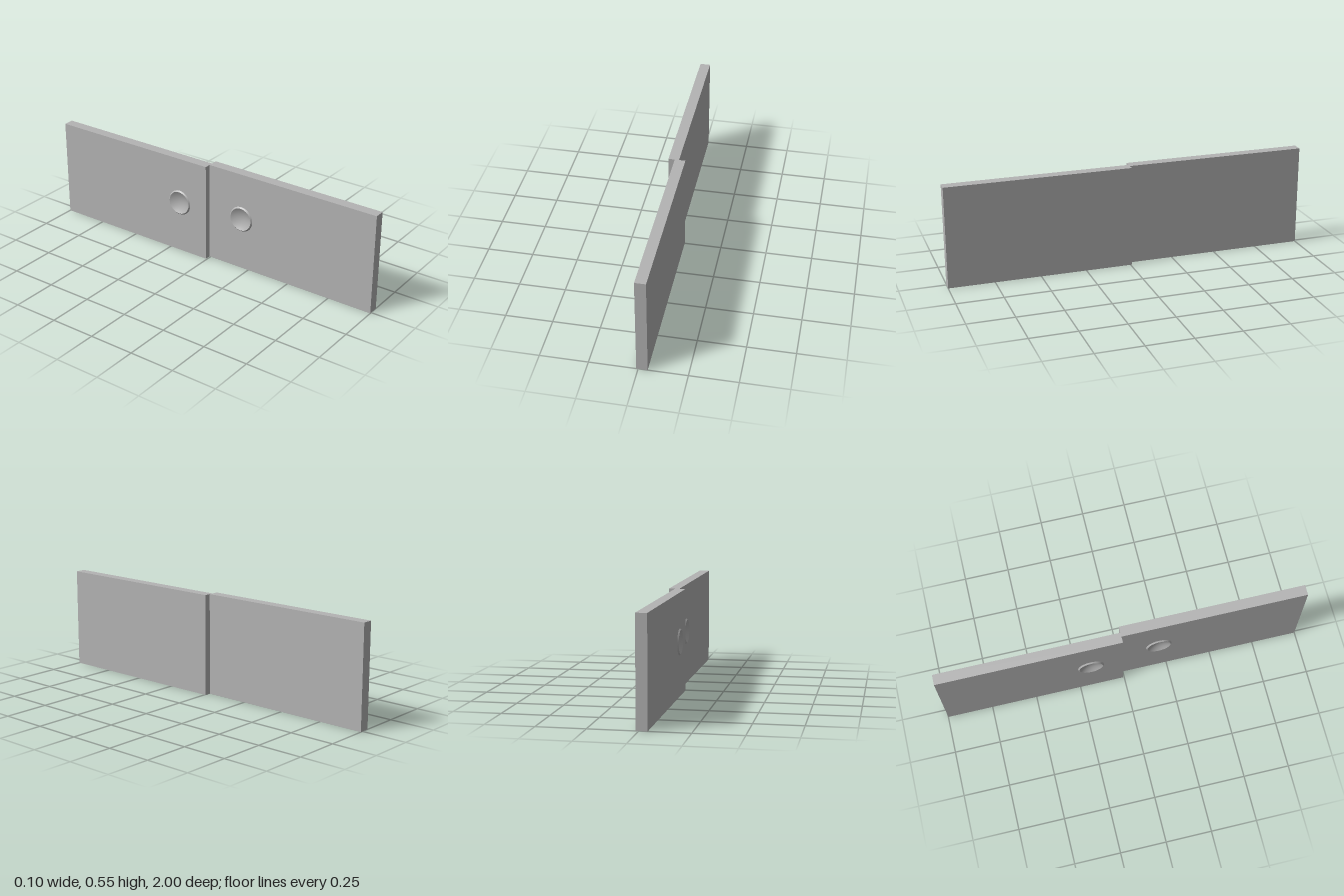
import * as THREE from 'three';

const HEIGHT = 0.553, THICK = 0.057, SEAM = -0.007;
const HANDLE_Y = 0.293, LIP = 0.007, R_BASE = 0.071, R_RIM = 0.064, DISH = 0.018;

export function createModel() {
  const model = new THREE.Group();
  model.name = 'slidingDoors';
  const grey = new THREE.MeshStandardMaterial({ color: 0xb4b4b4 });
  grey.name = 'door grey';

  const add = (parent, name, geometry) => {
    const mesh = new THREE.Mesh(geometry, grey);
    mesh.name = name;
    parent.add(mesh);
    return mesh;
  };
  const lathe = (pairs) =>
    new THREE.LatheGeometry(pairs.map(([r, y]) => new THREE.Vector2(r, y)), 48).rotateZ(Math.PI / 2);

  // One door leaf from z0 to z1, its handle face at x, with a round recess for the pull
  function door(name, x, z0, z1, handleZ) {
    const leaf = new THREE.Group();
    leaf.name = name;
    const outline = new THREE.Shape();
    outline.moveTo(-z1, 0);
    outline.lineTo(-z0, 0);
    outline.lineTo(-z0, HEIGHT);
    outline.lineTo(-z1, HEIGHT);
    outline.closePath();
    const hole = new THREE.Path();
    hole.absarc(-handleZ, HANDLE_Y, R_RIM, 0, Math.PI * 2, true);
    outline.holes.push(hole);
    const panel = new THREE.ExtrudeGeometry(outline, { depth: THICK, bevelEnabled: false, curveSegments: 48 });
    add(leaf, 'panel', panel.rotateY(Math.PI / 2).translate(x, 0, 0));
    // Solid back behind the recess
    add(leaf, 'recessBack', new THREE.CircleGeometry(R_RIM + 0.001, 48).rotateY(Math.PI / 2)
      .translate(x + THICK, HANDLE_Y, handleZ));

    // Finger pull: sloping lip and shallow concave dish
    const pull = new THREE.Group();
    pull.name = 'fingerPull';
    pull.position.set(x, HANDLE_Y, handleZ);
    add(pull, 'lip', lathe([[R_BASE, 0], [R_RIM, LIP]]));
    const bowl = [];
    for (let i = 0; i <= 10; i++) {
      const t = 1 - i / 10;
      bowl.push([R_RIM * t, LIP - DISH * (1 - t * t)]);
    }
    add(pull, 'dish', lathe(bowl));
    leaf.add(pull);
    model.add(leaf);
  }

  door('rearDoor', -0.043, -1, SEAM, -0.183);
  door('frontDoor', -0.009, SEAM, 1, 0.2);
  return model;
}
